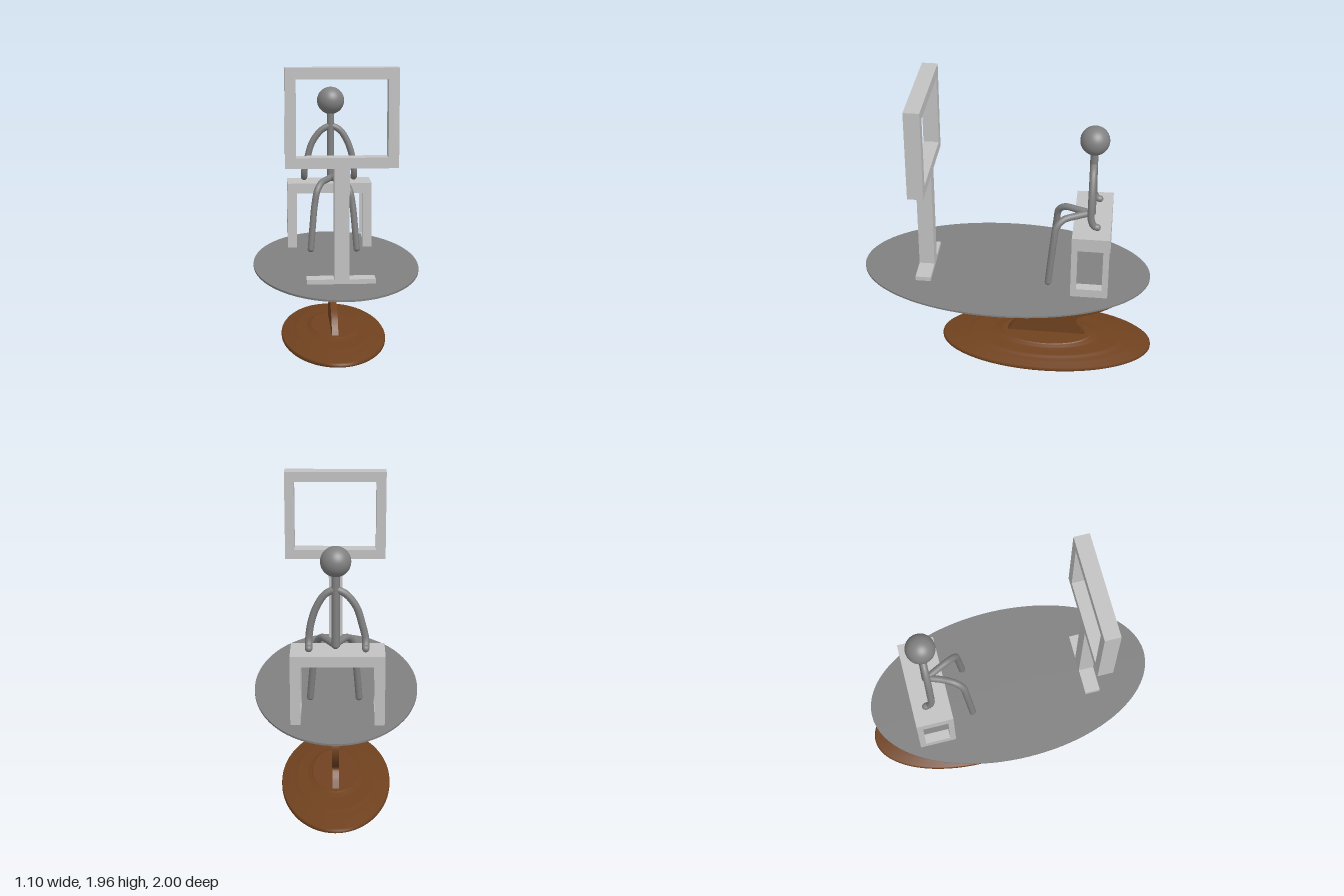
import * as THREE from 'three';

const mat = (name, color) => {
  const m = new THREE.MeshStandardMaterial({ color });
  m.name = name;
  return m;
};

export function createModel() {
  const brown = mat('brown wood', 0x70421f);
  const grey = mat('mid grey', 0x808080);
  const light = mat('light grey', 0xc2c2c2);
  const root = new THREE.Group();

  const add = (name, geo, material, parent = root) => {
    const mesh = new THREE.Mesh(geo, material);
    mesh.name = name;
    parent.add(mesh);
    return mesh;
  };
  const group = (name) => {
    const g = new THREE.Group();
    g.name = name;
    root.add(g);
    return g;
  };
  // Box given by its minimum and maximum corners
  const box = (x0, x1, y0, y1, z0, z1) =>
    new THREE.BoxGeometry(x1 - x0, y1 - y0, z1 - z0)
      .translate((x0 + x1) / 2, (y0 + y1) / 2, (z0 + z1) / 2);
  // Rectangular frame in the xy plane, extruded along +z
  const frame = (outer, inner, depth) => {
    const trace = (p, [x0, x1, y0, y1]) =>
      p.moveTo(x0, y0).lineTo(x1, y0).lineTo(x1, y1).lineTo(x0, y1).closePath();
    const shape = trace(new THREE.Shape(), outer);
    shape.holes.push(trace(new THREE.Path(), inner));
    return new THREE.ExtrudeGeometry(shape, { depth, bevelEnabled: false });
  };

  // Stepped oval base, turned and then stretched
  const profile = [[0, 0], [0.985, 0], [0.985, 0], [1, 0.006], [1, 0.022], [0.985, 0.03],
    [0.91, 0.032], [0.89, 0.04], [0.8, 0.045], [0.73, 0.053], [0.7, 0.06],
    [0.52, 0.062], [0.5, 0.07], [0.45, 0.073], [0.43, 0.08], [0.43, 0.08], [0, 0.08]];
  const base = new THREE.LatheGeometry(profile.map(([r, y]) => new THREE.Vector2(r, y)), 72);
  base.scale(0.363, 1, 0.737).translate(0, 0, -0.263);
  add('base', base, brown);

  // S-shaped pedestal slab: outline drawn as (-z, y), turned to face sideways
  const v2 = (list) => list.map(([x, y]) => new THREE.Vector2(x, y));
  const sShape = new THREE.Shape();
  sShape.moveTo(0.085, 0.592);
  sShape.splineThru(v2([[0.18, 0.51], [0.27, 0.42], [0.32, 0.335], [0.27, 0.275],
    [0.115, 0.21], [0.035, 0.145], [-0.015, 0.07]]));
  sShape.lineTo(0.545, 0.07);
  sShape.splineThru(v2([[0.51, 0.13], [0.47, 0.19], [0.51, 0.23], [0.635, 0.28],
    [0.755, 0.36], [0.81, 0.46], [0.785, 0.545], [0.69, 0.592]]));
  sShape.closePath();
  const slab = new THREE.ExtrudeGeometry(sShape, { depth: 0.044, bevelEnabled: false, curveSegments: 48 });
  slab.translate(0, 0, -0.022).rotateY(Math.PI / 2);
  add('pedestal', slab, brown);

  // Oval platform
  const disc = new THREE.CylinderGeometry(1, 1, 0.012, 96);
  disc.scale(0.552, 1, 0.982).translate(0, 0.594, 0.017);
  add('platform', disc, grey);

  // Bench: seat slab on two open side frames
  const bench = group('bench');
  add('benchSeat', box(-0.31, 0.285, 0.99, 1.06, -0.685, -0.437), light, bench);
  for (const x of [-0.31, 0.22]) {
    const side = frame([0.437, 0.685, 0.6, 0.99], [0.475, 0.645, 0.66, 0.985], 0.065);
    side.rotateY(Math.PI / 2).translate(x, 0, 0);
    add('benchSide', side, light, bench);
  }

  // Standing frame on a post and foot
  const stand = group('stand');
  const ring = frame([-0.345, 0.36, 1.335, 1.955], [-0.277, 0.294, 1.402, 1.885], 0.104);
  add('standFrame', ring.translate(0, 0, 0.512), light, stand);
  add('standPost', box(-0.042, 0.054, 0.6, 1.335, 0.512, 0.616), light, stand);
  add('standFoot', box(-0.215, 0.22, 0.6, 0.63, 0.512, 0.616), light, stand);

  // Seated figure: ball head and tube limbs with rounded ends
  const figure = group('figure');
  const limb = (name, points, radius) => {
    const pts = points.map((p) => new THREE.Vector3(...p));
    const curve = new THREE.CatmullRomCurve3(pts, false, 'centripetal');
    add(name, new THREE.TubeGeometry(curve, 48, radius, 16), grey, figure);
    for (const p of [pts[0], pts[pts.length - 1]])
      add(name + 'End', new THREE.SphereGeometry(radius, 16, 12).translate(p.x, p.y, p.z), grey, figure);
  };
  add('head', new THREE.SphereGeometry(0.096, 40, 28).translate(0, 1.635, -0.552), grey, figure);
  limb('torso', [[0, 1.6, -0.551], [0, 1.35, -0.551], [0, 1.09, -0.551]], 0.026);
  for (const s of [-1, 1]) {
    const o = s < 0 ? -0.02 : 0; // the right arm reaches a little wider
    limb('arm', [[0, 1.46, -0.551], [s * 0.065, 1.425, -0.551], [s * 0.12 + o / 2, 1.34, -0.551],
      [s * 0.155 + o / 2, 1.23, -0.551], [s * 0.168 + o, 1.13, -0.555],
      [s * 0.168 + o, 1.09, -0.575], [s * 0.168 + o, 1.082, -0.595]], 0.023);
    const k = s < 0 ? 0.01 : 0.005;
    limb('leg', [[0, 1.085, -0.545], [s * 0.04 + k, 1.085, -0.46], [s * 0.085 + k, 1.075, -0.37],
      [s * 0.115 + k, 1.03, -0.325], [s * 0.135 + k, 0.93, -0.31], [s * 0.15 + k, 0.78, -0.295],
      [s * 0.163 + k, 0.623, -0.281]], 0.023);
  }
  return root;
}
